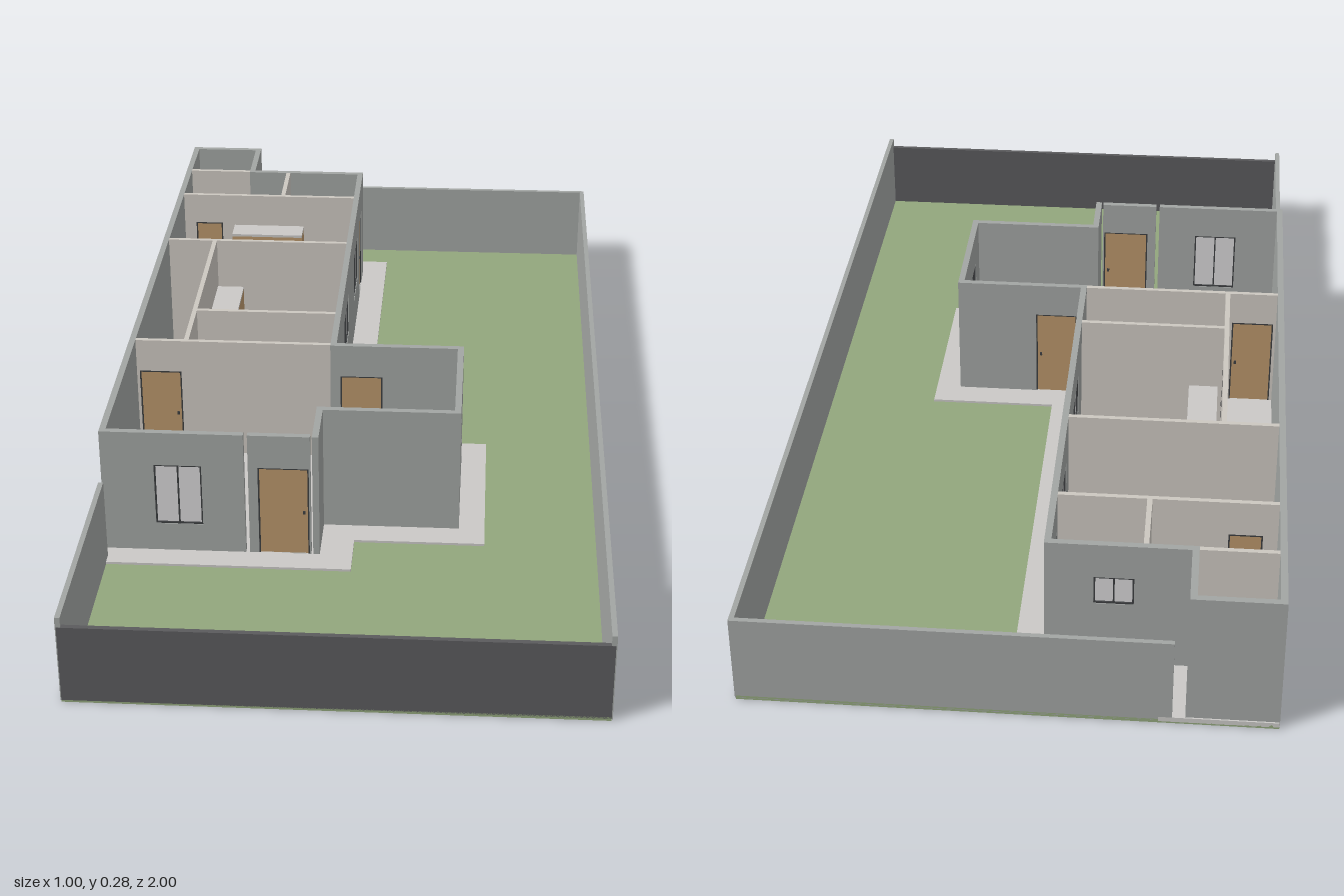
import * as THREE from 'three';

const mat = (name, color) => {
  const m = new THREE.MeshStandardMaterial({ color });
  m.name = name;
  return m;
};

export function createModel() {
  const M = {
    grey: mat('outer wall grey', 0xa2a5a3),
    warm: mat('inner wall warm grey', 0xccc7c0),
    dark: mat('front wall charcoal', 0x5a5a5d),
    grass: mat('grass green', 0x92a67c),
    floor: mat('floor light grey', 0xcac8c6),
    wood: mat('wood tan', 0xb8956a),
    frame: mat('frame dark grey', 0x3c3e40),
    glass: mat('pane pale grey', 0xd6d5d6),
  };
  const root = new THREE.Group();
  root.name = 'walledHouse';
  const H = 0.283, BASE = 0.006, FLOOR = 0.013, HEAD = 0.21;

  // Box given by its min and max corners
  const box = (name, material, x0, x1, y0, y1, z0, z1, parent = root) => {
    const m = new THREE.Mesh(new THREE.BoxGeometry(x1 - x0, y1 - y0, z1 - z0), material);
    m.position.set((x0 + x1) / 2, (y0 + y1) / 2, (z0 + z1) / 2);
    m.name = name;
    parent.add(m);
    return m;
  };

  // Door leaf with two jambs, a head and a handle, in wall coordinates
  const addDoor = (g, u0, u1) => {
    const f = 0.003;
    box('doorLeaf', M.wood, u0 + f, u1 - f, FLOOR, HEAD - f, -0.003, 0.003, g);
    box('doorHead', M.frame, u0, u1, HEAD - f, HEAD, -0.005, 0.005, g);
    for (const u of [u0, u1 - f]) box('doorJamb', M.frame, u, u + f, FLOOR, HEAD - f, -0.005, 0.005, g);
    box('doorHandle', M.frame, u1 - 0.013, u1 - 0.008, 0.105, 0.112, -0.006, 0.006, g);
  };

  // Window with frame, centre mullion and pane
  const addWindow = (g, u0, u1, y0) => {
    const f = 0.003, c = (u0 + u1) / 2;
    box('windowPane', M.glass, u0 + f, u1 - f, y0 + f, HEAD - f, -0.0015, 0.0015, g);
    for (const y of [y0, HEAD - f]) box('windowRail', M.frame, u0, u1, y, y + f, -0.005, 0.005, g);
    for (const u of [u0, c - f / 2, u1 - f]) box('windowStile', M.frame, u, u + f, y0 + f, HEAD - f, -0.005, 0.005, g);
  };

  // Straight wall from a to b with openings [u0, u1, sill]; without a sill it is a door
  const wall = (name, material, axis, at, a, b, openings = [], t = 0.013) => {
    const g = new THREE.Group();
    g.name = name;
    const s = new THREE.Shape();
    s.moveTo(a, BASE).lineTo(b, BASE).lineTo(b, H).lineTo(a, H).closePath();
    for (const [u0, u1, sill] of openings) {
      const y0 = sill ?? FLOOR;
      const h = new THREE.Path();
      h.moveTo(u0, y0).lineTo(u0, HEAD).lineTo(u1, HEAD).lineTo(u1, y0).closePath();
      s.holes.push(h);
      if (sill === undefined) addDoor(g, u0, u1);
      else addWindow(g, u0, u1, sill);
    }
    const geo = new THREE.ExtrudeGeometry(s, { depth: t, bevelEnabled: false });
    geo.translate(0, 0, -t / 2);
    const m = new THREE.Mesh(geo, material);
    m.name = name + 'Panel';
    g.add(m);
    if (axis === 'z') {
      g.rotation.y = -Math.PI / 2;
      g.position.x = at;
    } else g.position.z = at;
    root.add(g);
  };

  // Lawn and paved slab
  box('lawn', M.grass, -0.5, 0.5, 0, 0.008, -1, 1);
  const slab = new THREE.Shape([
    [-0.5, 1], [-0.28, 1], [-0.28, 0.905], [0, 0.905], [0, -0.03], [0.265, -0.03],
    [0.265, -0.44], [0, -0.44], [0, -0.55], [-0.5, -0.55],
  ].map(([x, y]) => new THREE.Vector2(x, y)));
  const slabGeo = new THREE.ExtrudeGeometry(slab, { depth: FLOOR - 0.003, bevelEnabled: false });
  slabGeo.rotateX(-Math.PI / 2).translate(0, 0.003, 0);
  const paving = new THREE.Mesh(slabGeo, M.floor);
  paving.name = 'pavedSlab';
  root.add(paving);

  // Boundary walls
  box('frontBoundary', M.dark, -0.5, 0.5, 0.004, 0.163, 0.99, 1);
  box('leftBoundary', M.grey, 0.492, 0.502, 0.003, 0.183, -1, 0.999);
  box('rightBoundary', M.grey, -0.502, -0.492, 0.003, 0.183, 0.525, 0.999);
  box('backBoundary', M.grey, -0.305, 0.492, 0.003, 0.183, -1, -0.99);

  // Outer house walls
  wall('rightHouseWall', M.grey, 'z', -0.4945, -0.997, 0.497);
  wall('backHouseWall', M.grey, 'x', -0.9905, -0.488, -0.342);
  wall('storeSideWall', M.grey, 'z', -0.3355, -0.997, -0.8385, [[-0.975, -0.907], [-0.902, -0.852, 0.12]]);
  wall('laundryBackWall', M.grey, 'x', -0.845, -0.329, -0.0715, [[-0.225, -0.15, 0.15]]);
  wall('leftHouseWall', M.grey, 'z', -0.065, -0.8515, 0.0885,
    [[-0.78, -0.71], [-0.625, -0.485, 0.1], [-0.3, -0.15, 0.115], [0, 0.06, 0.16]]);
  wall('livingBackWall', M.grey, 'x', 0.095, -0.0715, 0.199, [[-0.05, 0.04]]);
  wall('livingLeftWall', M.grey, 'z', 0.2055, 0.0885, 0.3835, [[0.165, 0.238], [0.243, 0.31, 0.145]]);
  wall('livingFrontWall', M.grey, 'x', 0.377, -0.066, 0.199);
  wall('porchSideWall', M.grey, 'z', -0.0725, 0.3705, 0.497);
  wall('frontWindowWall', M.grey, 'x', 0.4905, -0.488, -0.215, [[-0.395, -0.3, 0.075]]);
  wall('frontDoorWall', M.grey, 'x', 0.4905, -0.207, -0.083, [[-0.188, -0.086]]);

  // Inner partitions
  wall('storePartition', M.warm, 'x', -0.845, -0.488, -0.342, [], 0.01);
  wall('laundryPartition', M.warm, 'x', -0.693, -0.488, -0.0715, [[-0.46, -0.395]], 0.01);
  wall('kitchenPartition', M.warm, 'x', -0.425, -0.488, -0.0715, [], 0.01);
  wall('bathPartition', M.warm, 'x', -0.055, -0.375, -0.0715, [], 0.01);
  wall('livingPartition', M.warm, 'x', 0.0945, -0.488, -0.0715, [[-0.482, -0.392]], 0.01);
  wall('corridorPartition', M.warm, 'z', -0.38, -0.42, 0.0895, [[-0.145, -0.075], [-0.035, 0.035]], 0.01);
  wall('bathDivider', M.warm, 'z', -0.245, -0.8385, -0.698, [], 0.01);

  // Wardrobes: wooden body with a pale top
  for (const [x0, x1, z0, z1] of [[-0.365, -0.195, -0.686, -0.63], [-0.365, -0.305, -0.335, -0.17]]) {
    box('wardrobeBody', M.wood, x0, x1, FLOOR, 0.2, z0, z1);
    box('wardrobeTop', M.floor, x0, x1, 0.2, 0.206, z0, z1);
  }

  // Bed with dark base and headboard
  box('bedBase', M.frame, -0.294, -0.151, FLOOR, 0.035, -0.418, -0.226);
  box('bedMattress', M.floor, -0.289, -0.156, 0.035, 0.06, -0.41, -0.231);
  box('bedHeadboard', M.frame, -0.294, -0.151, 0.035, 0.09, -0.418, -0.412);

  // Sofa
  box('sofaSeat', M.grey, -0.458, -0.395, FLOOR, 0.05, 0.22, 0.43);
  box('sofaBack', M.grey, -0.483, -0.458, FLOOR, 0.09, 0.22, 0.43);

  // Laundry fittings
  box('sink', M.floor, -0.385, -0.345, FLOOR, 0.09, -0.83, -0.775);
  for (const x of [-0.302, -0.24]) box('washingMachine', M.dark, x, x + 0.047, FLOOR, 0.09, -0.805, -0.745);

  return root;
}
